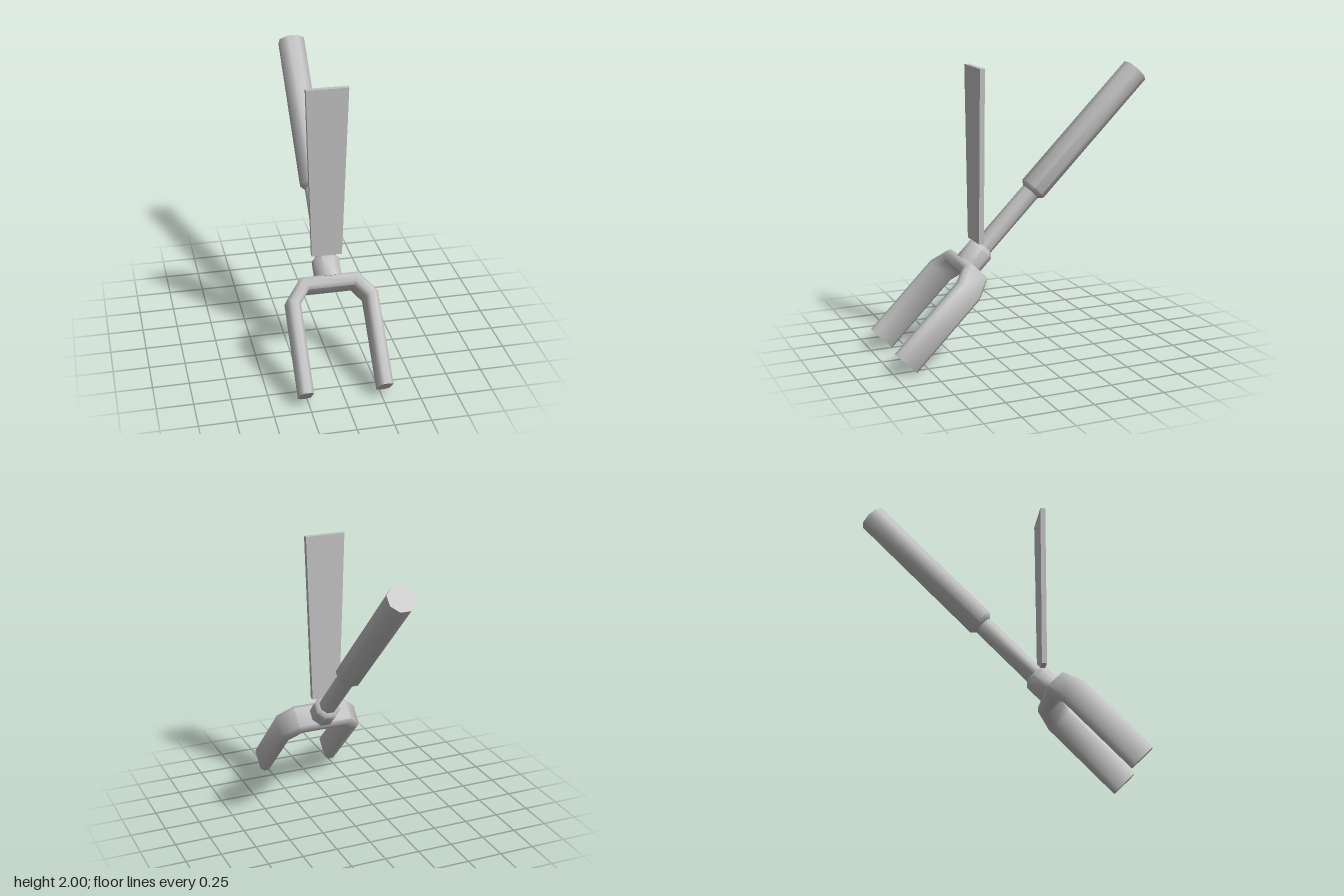
import * as THREE from 'three';
import { toCreasedNormals } from 'three/addons/utils/BufferGeometryUtils.js';

const CREASE = 1.0;

// Eight-sided turned part; profile is [distance to flat, height] from bottom to top
function turned(name, profile, material) {
  const k = 1 / Math.cos(Math.PI / 8);
  const points = profile.map(([r, y]) => new THREE.Vector2(r * k, y));
  const geometry = new THREE.LatheGeometry(points, 8, Math.PI / 8);
  const mesh = new THREE.Mesh(toCreasedNormals(geometry, CREASE), material);
  mesh.name = name;
  return mesh;
}

// Chamfered bar swept along a flat path in x and y, with mitred bends
function sweptBar(path, halfWidth, halfDepth, chamfer) {
  const w = halfWidth, d = halfDepth, c = chamfer;
  const section = [
    [w, -d + c], [w, d - c], [w - c, d], [-w + c, d],
    [-w, d - c], [-w, -d + c], [-w + c, -d], [w - c, -d],
  ];
  const pts = path.map(([x, y]) => new THREE.Vector2(x, y));
  const normal = (a, b) => new THREE.Vector2(a.y - b.y, b.x - a.x).normalize();
  const positions = [], indices = [], n = section.length, last = pts.length - 1;
  pts.forEach((p, i) => {
    const before = normal(pts[Math.max(i - 1, 0)], pts[Math.max(i, 1)]);
    const after = normal(pts[Math.min(i, last - 1)], pts[Math.min(i + 1, last)]);
    const mitre = before.clone().add(after).normalize();
    mitre.divideScalar(mitre.dot(before));
    for (const [u, v] of section) positions.push(p.x + mitre.x * u, p.y + mitre.y * u, v);
  });
  for (let i = 0; i < last; i++) {
    for (let j = 0; j < n; j++) {
      const a = i * n + j, b = i * n + (j + 1) % n;
      indices.push(a, b, b + n, a, b + n, a + n);
    }
  }
  // End caps
  for (let j = 1; j < n - 1; j++) {
    indices.push(0, j + 1, j, last * n, last * n + j, last * n + j + 1);
  }
  const geometry = new THREE.BufferGeometry();
  geometry.setAttribute('position', new THREE.Float32BufferAttribute(positions, 3));
  geometry.setIndex(indices);
  return toCreasedNormals(geometry, CREASE);
}

export function createModel() {
  const model = new THREE.Group();
  model.name = 'forkedTool';
  const grey = new THREE.MeshStandardMaterial({ color: 0xc0c0c0 });
  grey.name = 'grey';

  // Everything on the sloping axis: local y runs up and back along the handle
  const tilted = new THREE.Group();
  tilted.name = 'tiltedAssembly';
  tilted.rotation.x = -Math.PI / 4;
  tilted.position.set(0, 0.494, 0.494);
  model.add(tilted);

  // U-shaped fork, its left half mirrored from the right
  const half = [[-0.27, -0.593], [-0.27, 0.04], [-0.18, 0.155]];
  const path = [...half, ...half.map(([x, y]) => [-x, y]).reverse()];
  const fork = new THREE.Mesh(sweptBar(path, 0.045, 0.1, 0.026), grey);
  fork.name = 'fork';
  tilted.add(fork);

  // Collar, shaft and grip
  tilted.add(
    turned('collar', [[0, 0.19], [0.09, 0.19], [0.09, 0.325], [0.063, 0.354], [0, 0.354]], grey),
    turned('shaft', [[0.062, 0.34], [0.062, 0.87]], grey),
    turned('grip', [[0, 0.856], [0.063, 0.856], [0.09, 0.887], [0.09, 2.0], [0, 2.0]], grey),
  );

  // Upright blade, widening towards the top
  const bladeGeometry = new THREE.BoxGeometry(1, 1.21, 0.036);
  const pos = bladeGeometry.attributes.position;
  for (let i = 0; i < pos.count; i++) {
    pos.setX(i, pos.getX(i) * (pos.getY(i) > 0 ? 0.286 : 0.21));
  }
  bladeGeometry.computeVertexNormals();
  const blade = new THREE.Mesh(bladeGeometry, grey);
  blade.name = 'blade';
  blade.position.set(0, 1.395, 0.3);
  model.add(blade);

  return model;
}
